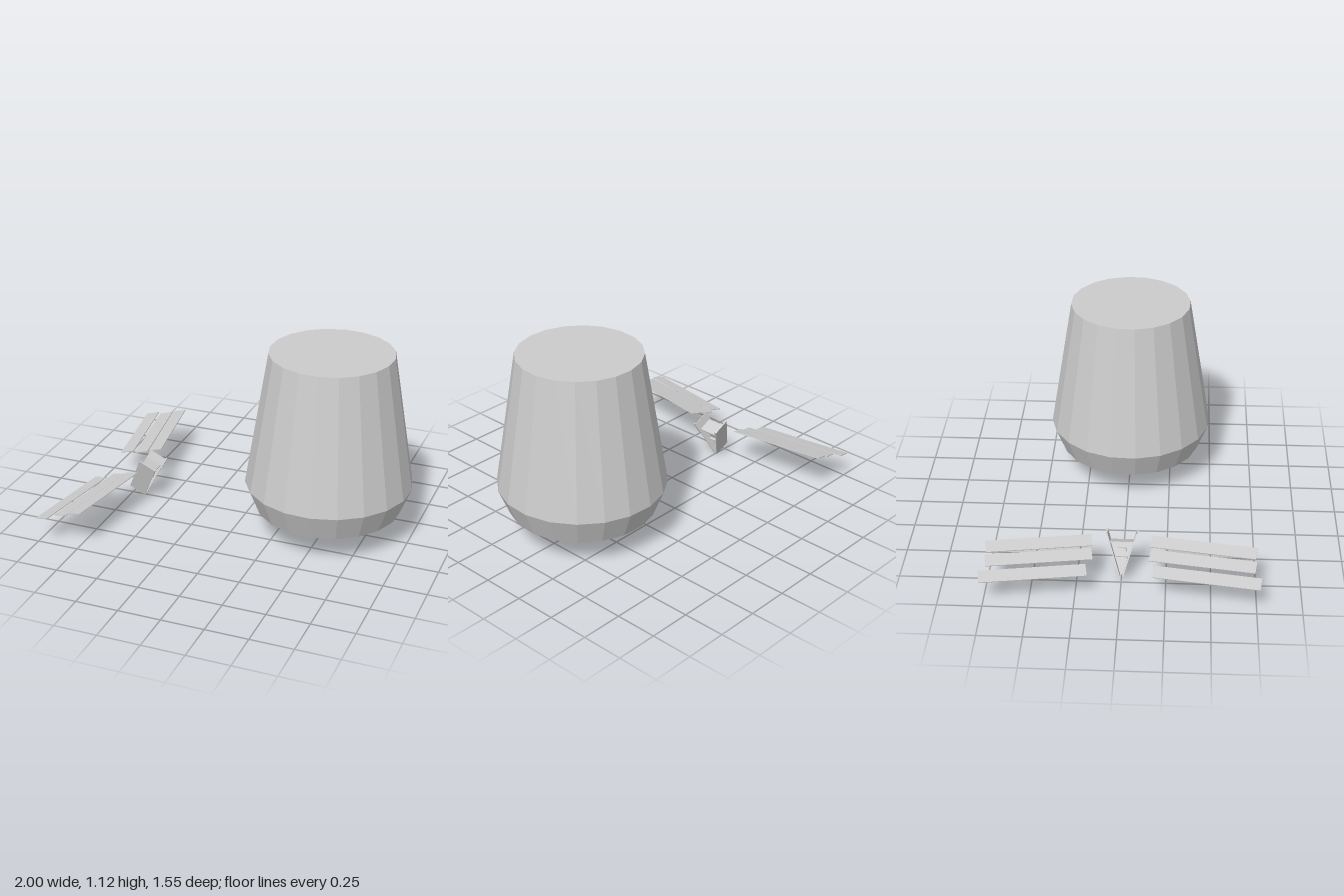
import * as THREE from 'three';

const material = new THREE.MeshStandardMaterial({ color: 0xcccccc, flatShading: true, side: THREE.DoubleSide });

function add(parent, name, geometry, position = [0, 0, 0], rotation = [0, 0, 0]) {
  const mesh = new THREE.Mesh(geometry, material);
  mesh.name = name;
  mesh.position.set(...position);
  mesh.rotation.set(...rotation);
  parent.add(mesh);
  return mesh;
}

// Faceted surface of revolution from [radius, height] pairs
const lathe = (points) =>
  new THREE.LatheGeometry(points.map(([r, y]) => new THREE.Vector2(r, y)), 20, 0.1);

function createCapsule() {
  const capsule = new THREE.Group();
  capsule.name = 'capsule';
  capsule.position.x = 0.515;
  // Tapered hull with a rolled-in lower rim and a recess above it
  add(capsule, 'hull', lathe([
    [0.35, 0.27], [0.40, 0.17], [0.425, 0.17], [0.487, 0.325], [0.357, 1.12], [0, 1.12],
  ]));
  // Ring standing out below the hull, funnelling up to a small disc
  add(capsule, 'nozzle', lathe([
    [0, 0.33], [0.13, 0.33], [0.34, 0.14], [0.365, 0.14], [0.365, 0.27],
  ]));
  return capsule;
}

function createSatelliteBody() {
  const body = new THREE.Group();
  body.name = 'satelliteBody';
  body.position.set(-0.66, 0.134, 0);
  body.rotation.z = -0.44;
  // Two plates that spread from a narrow foot
  for (const s of [-1, 1]) {
    add(body, 'sidePlate', new THREE.BoxGeometry(0.11, 0.254, 0.006), [0, 0, s * 0.046], [s * 0.297, 0, 0]);
    add(body, 'plateLip', new THREE.BoxGeometry(0.01, 0.07, 0.012), [0.055, 0.095, s * 0.077], [s * 0.297, 0, 0]);
  }
  // Tapered bulkhead between the plates
  const outline = new THREE.Shape([[-0.01, -0.12], [0.01, -0.12], [0.067, 0.07], [-0.067, 0.07]]
    .map(([x, y]) => new THREE.Vector2(x, y)));
  const bulkhead = new THREE.ExtrudeGeometry(outline, { depth: 0.006, bevelEnabled: false });
  add(body, 'bulkhead', bulkhead, [-0.003, 0, 0], [0, Math.PI / 2, 0]);
  // Decks and the instrument box
  add(body, 'upperDeck', new THREE.BoxGeometry(0.09, 0.006, 0.13), [0, 0.07, 0]);
  add(body, 'lowerDeck', new THREE.BoxGeometry(0.06, 0.006, 0.07), [0, -0.02, 0]);
  add(body, 'instrumentBox', new THREE.BoxGeometry(0.045, 0.035, 0.05), [0, 0.015, 0]);
  return body;
}

function createSolarPanels() {
  const panels = new THREE.Group();
  panels.name = 'solarPanels';
  // Centre of each panel: x, y, distance from the middle plane
  const centres = [[-0.915, 0.168, 0.477], [-0.805, 0.198, 0.452], [-0.714, 0.226, 0.457]];
  for (const s of [-1, 1]) {
    for (const [x, y, z] of centres) {
      const geometry = new THREE.BoxGeometry(0.083, 0.005, 0.59);
      geometry.rotateZ(0.24);
      add(panels, 'solarPanel', geometry, [x, y, s * z], [0, -s * 0.152, 0]);
    }
  }
  return panels;
}

export function createModel() {
  const model = new THREE.Group();
  model.name = 'capsuleAndSatellite';
  const satellite = new THREE.Group();
  satellite.name = 'satellite';
  satellite.add(createSatelliteBody(), createSolarPanels());
  model.add(createCapsule(), satellite);
  return model;
}
